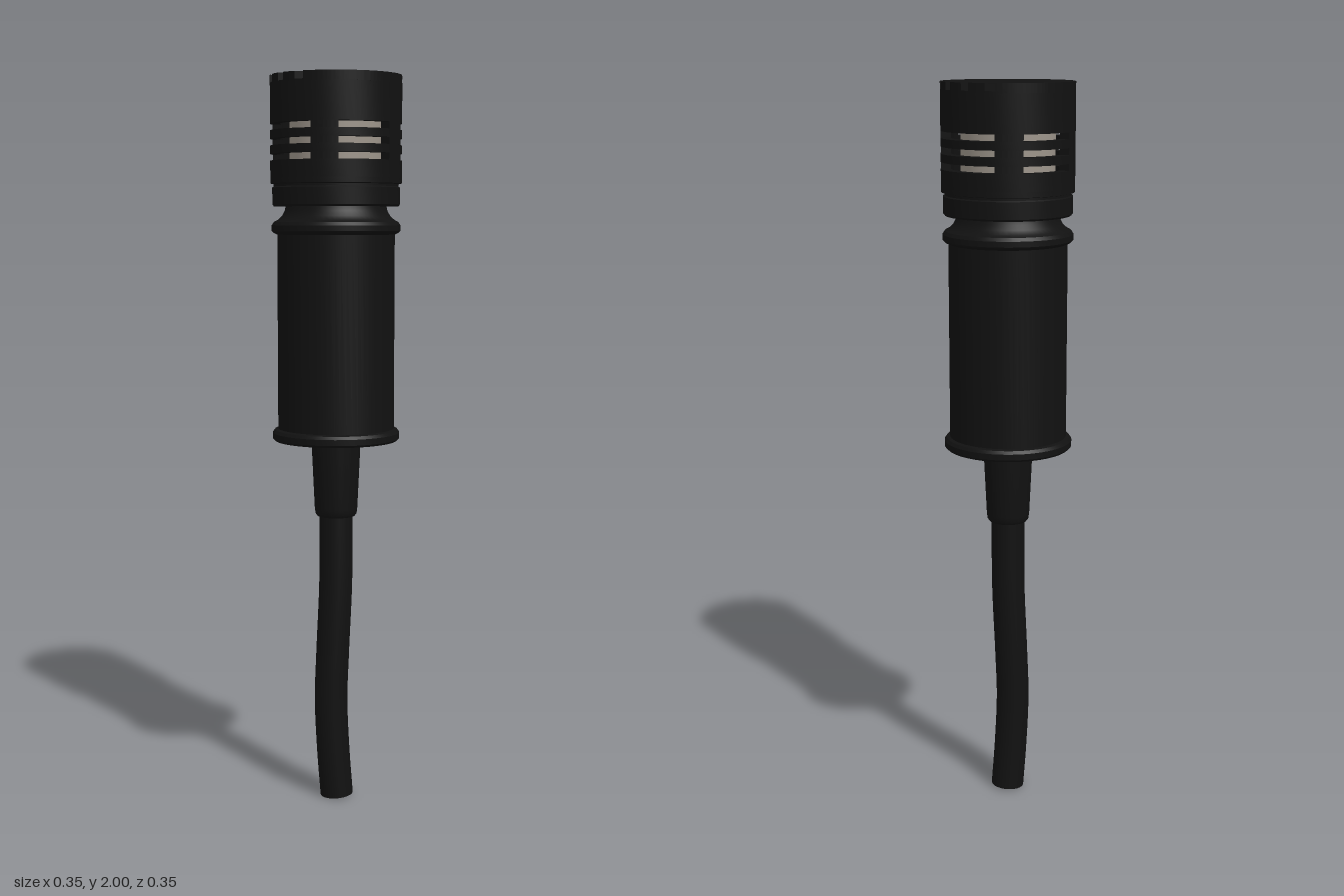
import * as THREE from 'three';
import { toCreasedNormals } from 'three/addons/utils/BufferGeometryUtils.js';

const SEG = 64;

export function createModel() {
  const model = new THREE.Group();
  model.name = 'lapelMicrophone';
  const black = new THREE.MeshStandardMaterial({ color: 0x111111 });
  black.name = 'matte black';
  const grey = new THREE.MeshStandardMaterial({ color: 0x9c948a });
  grey.name = 'warm grey';

  function add(name, geometry, material = black, parent = model) {
    const mesh = new THREE.Mesh(geometry, material);
    mesh.name = name;
    parent.add(mesh);
    return mesh;
  }

  // Turned part from [radius, height] pairs, listed bottom to top
  function turned(pairs) {
    const points = pairs.map(([r, y]) => new THREE.Vector2(r, y));
    return toCreasedNormals(new THREE.LatheGeometry(points, SEG), 0.5);
  }

  // Flat plan shape raised from y0 to y1
  function raised(shape, y0, y1) {
    const g = new THREE.ExtrudeGeometry(shape, { depth: y1 - y0, bevelEnabled: false, curveSegments: 24 });
    g.rotateX(-Math.PI / 2);
    g.translate(0, y0, 0);
    return toCreasedNormals(g, 0.5);
  }

  // Cylindrical body with end flanges and a concave shoulder up to the neck
  add('body', turned([
    [0, 1.02], [0.168, 1.02], [0.174, 1.026], [0.174, 1.042], [0.168, 1.05], [0.159, 1.053],
    [0.159, 1.58], [0.168, 1.584], [0.174, 1.59], [0.174, 1.605], [0.168, 1.614],
    [0.158, 1.619], [0.146, 1.63], [0.139, 1.643], [0.135, 1.66], [0, 1.66],
  ]));

  // Solid collar under the slotted head
  add('headCollar', turned([
    [0, 1.655], [0.168, 1.655], [0.172, 1.66], [0.172, 1.705], [0.168, 1.708],
    [0.168, 1.714], [0.177, 1.716], [0.177, 1.73], [0, 1.73],
  ]));

  // Slotted shell: full bands joined by four pillars in each slot row
  const head = new THREE.Group();
  head.name = 'slottedHead';
  model.add(head);
  const outer = 0.177, inner = 0.15;
  for (const [y0, y1] of [[1.73, 1.776], [1.794, 1.816], [1.834, 1.856], [1.874, 1.98]]) {
    add('headBand', turned([[inner, y0], [outer, y0], [outer, y1], [inner, y1], [inner, y0]]), black, head);
  }
  const from = THREE.MathUtils.degToRad(41), to = THREE.MathUtils.degToRad(65);
  for (const y of [1.785, 1.825, 1.865]) {
    for (const [a, b] of [[from, to], [Math.PI - to, Math.PI - from],
      [Math.PI + from, Math.PI + to], [-to, -from]]) {
      const sector = new THREE.Shape();
      sector.absarc(0, 0, outer, a, b, false);
      sector.absarc(0, 0, inner, b, a, true);
      add('slotPillar', raised(sector, y - 0.009, y + 0.009), black, head);
    }
  }

  // Capsule seen through the slots
  const core = new THREE.CylinderGeometry(0.125, 0.125, 0.23, SEG);
  core.translate(0, 1.845, 0);
  add('capsule', core, grey);

  // Top plate with strips that leave four grooves along x
  add('topPlate', turned([[0, 1.955], [0.152, 1.955], [0.152, 1.979], [0, 1.979]]));
  const grooves = [-0.107, -0.042, 0.025, 0.088], half = 0.0115;
  const edges = [-outer, ...grooves.flatMap((z) => [z - half, z + half]), outer];
  for (let i = 0; i < edges.length; i += 2) {
    // plan y becomes -z
    const low = Math.asin(-edges[i + 1] / outer), high = Math.asin(-edges[i] / outer);
    const strip = new THREE.Shape();
    strip.absarc(0, 0, outer, low, high, false);
    strip.absarc(0, 0, outer, Math.PI - high, Math.PI - low, false);
    add('topStrip', raised(strip, 1.975, 2), black, head);
  }

  // Tapered strain relief
  add('strainRelief', turned([
    [0, 0.808], [0.052, 0.808], [0.057, 0.815], [0.059, 0.83], [0.068, 1.022], [0, 1.022],
  ]));

  // Gently bent cable with a closed cut end
  const path = new THREE.CatmullRomCurve3([
    [0, 0.84, 0], [-0.001, 0.62, 0], [-0.009, 0.42, -0.003], [-0.013, 0.28, -0.005],
    [-0.007, 0.13, -0.003], [0.002, 0.004, 0],
  ].map((p) => new THREE.Vector3(...p)));
  const radius = 0.046;
  add('cable', new THREE.TubeGeometry(path, 40, radius, 24));
  const end = add('cableEnd', new THREE.CircleGeometry(radius, 24));
  end.position.copy(path.getPoint(1));
  end.quaternion.setFromUnitVectors(new THREE.Vector3(0, 0, 1), path.getTangent(1));

  return model;
}
